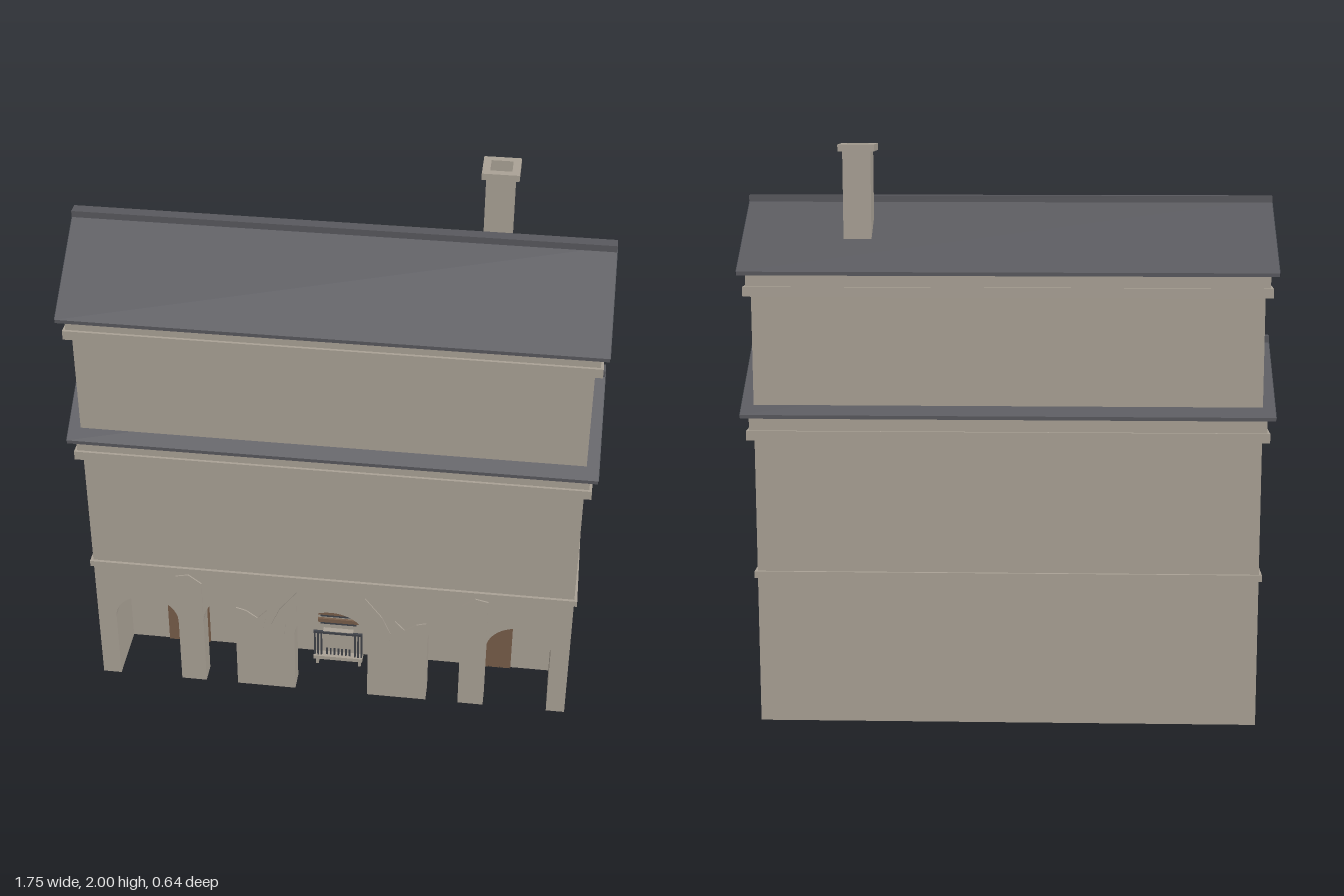
import * as THREE from 'three';

export function createModel() {
  const root = new THREE.Group();
  const mat = (name, color, side = THREE.FrontSide) => {
    const m = new THREE.MeshStandardMaterial({ color, side });
    m.name = name;
    return m;
  };
  const stone = mat('stone', 0xa9a195);
  const slate = mat('slate', 0x58585d);
  const iron = mat('dark iron', 0x404349);
  const wood = mat('brown wood', 0x775d49);

  const add = (name, geo, material, parent = root) => {
    const m = new THREE.Mesh(geo, material);
    m.name = name;
    parent.add(m);
    return m;
  };
  // Box given by its limits on each axis
  const box = (name, x0, x1, y0, y1, z0, z1, material, parent) => {
    const g = new THREE.BoxGeometry(x1 - x0, y1 - y0, z1 - z0);
    g.translate((x0 + x1) / 2, (y0 + y1) / 2, (z0 + z1) / 2);
    return add(name, g, material, parent);
  };
  const shapeOf = pts => new THREE.Shape(pts.map(p => new THREE.Vector2(...p)));
  const extrude = (shape, depth, z) => {
    const g = new THREE.ExtrudeGeometry(shape, { depth, bevelEnabled: false, curveSegments: 14 });
    return g.translate(0, 0, z);
  };
  // Profile in (z, y), extruded along x and centred
  const alongX = (name, pts, length, material, parent) => {
    const g = extrude(shapeOf(pts.map(([z, y]) => [-z, y])), length, -length / 2);
    return add(name, g.rotateY(Math.PI / 2), material, parent);
  };

  // Main walls
  const W = 0.835, D = 0.28, base = 0.07;
  box('groundFloorBackBlock', -W, W, base, 0.57, -D, 0.07, stone);
  box('upperWalls', -W, W, 0.57, 1.585, -D, D, stone);
  box('loggiaCeiling', -W, W, 0.5, 0.57, 0.07, D - 0.01, stone);
  for (const s of [-1, 1]) {
    const a = s * W, b = s * 0.77;
    box('loggiaEndWall', Math.min(a, b), Math.max(a, b), base, 0.57, 0.07, D - 0.07, stone);
  }

  // Arcade front: lower edge runs through five arches
  const arcade = new THREE.Shape();
  arcade.moveTo(-W, 0.57);
  arcade.lineTo(-W, base);
  const arches = [[-0.77, -0.545, 0.34], [-0.455, -0.34, 0.34], [-0.13, 0.13, 0.32],
    [0.34, 0.455, 0.34], [0.545, 0.77, 0.34]];
  for (const [x0, x1, spring] of arches) {
    arcade.lineTo(x0, base);
    arcade.lineTo(x0, spring);
    arcade.absellipse((x0 + x1) / 2, spring, (x1 - x0) / 2, 0.44 - spring, Math.PI, 0, true);
    arcade.lineTo(x1, base);
  }
  arcade.lineTo(W, base);
  arcade.lineTo(W, 0.57);
  add('arcadeWall', extrude(arcade, 0.07, D - 0.07), stone);

  // Shallow raised shafts above the piers
  const shafts = [
    [[0.455, 0.34], [0.475, 0.315], [0.53, 0.315], [0.545, 0.34], [0.545, 0.55], [0.5, 0.56], [0.455, 0.525]],
    [[0.225, 0.43], [0.24, 0.34], [0.32, 0.34], [0.335, 0.43], [0.3, 0.42], [0.26, 0.39]],
    [[0.12, 0.52], [0.12, 0.435], [0.16, 0.39], [0.165, 0.32], [0.205, 0.32], [0.21, 0.37], [0.18, 0.44]],
  ];
  for (const pts of shafts) for (const s of [-1, 1])
    add('pierShaft', extrude(shapeOf(pts.map(([x, y]) => [s * x, y])), 0.006, D - 0.001), stone);

  // String course and the two cornices
  const band = (name, out, y0, y1) => box(name, -W - out, W + out, y0, y1, -D - out, D + out, stone);
  band('stringCourse', 0.01, 0.57, 0.592);
  for (const y of [1.04, 1.515]) {
    band('corniceLower', 0.024, y, y + 0.032);
    band('corniceUpper', 0.015, y + 0.032, y + 0.075);
  }

  // Two pitched roofs of thin slabs, open at the ends
  const roof = (name, eave) => {
    const g = new THREE.Group();
    g.name = name;
    root.add(g);
    const top = eave + 0.225;
    for (const s of [-1, 1]) {
      const pts = [[0, top], [0.32, eave + 0.008], [0.32, eave - 0.004], [0.312, eave - 0.004], [0, top - 0.016]]
        .map(([z, y]) => [s * z, y]);
      alongX('roofSlope', pts, 1.75, slate, g);
    }
    box('ridgeCap', -0.876, 0.876, top - 0.012, top + 0.01, -0.02, 0.02, slate, g);
    for (const s of [-1, 1]) for (const e of [-1, 1])
      alongX('vergeEdge', [[0, top - 0.001], [s * 0.319, eave + 0.007], [s * 0.312, eave - 0.003], [0, top - 0.015]],
        0.004, iron, g).position.x = e * 0.875;
  };
  roof('lowerRoof', 1.12);
  roof('upperRoof', 1.59);
  alongX('gableWalls', [[-0.26, 1.585], [0.26, 1.585], [0, 1.785]], 2 * W, stone);

  // Hollow chimney with a wider cap
  const tube = (name, half, y0, y1) => {
    const sq = h => [[-h, -h], [h, -h], [h, h], [-h, h]];
    const s = shapeOf(sq(half));
    s.holes.push(new THREE.Path(sq(0.035).reverse().map(p => new THREE.Vector2(...p))));
    const g = extrude(s, y1 - y0, 0).rotateX(-Math.PI / 2);
    add(name, g, stone).position.set(0.495, y0, -0.135);
  };
  tube('chimneyShaft', 0.046, 1.66, 1.985);
  tube('chimneyCap', 0.06, 1.978, 2);

  // Plank doors with dark lintels at the back of the loggia
  for (const s of [-1, 1]) {
    const door = new THREE.Group();
    door.name = 'door';
    door.position.x = s * 0.555;
    root.add(door);
    for (let i = 0; i < 4; i++) {
      const x = -0.077 + i * 0.0385;
      box('doorPlank', x, x + 0.036, base, 0.355, 0.069, 0.077, wood, door);
    }
    box('doorBacking', -0.077, 0.077, base, 0.355, 0.069, 0.073, wood, door);
    box('doorLintel', -0.079, 0.079, 0.355, 0.372, 0.069, 0.08, iron, door);
    box('doorHandle', s * 0.077 - 0.005, s * 0.077 + 0.005, 0.28, 0.3, 0.069, 0.085, iron, door);
  }

  // Slatted window shutter
  for (let i = 0; i < 4; i++) {
    const y = 0.205 + i * 0.035;
    box('shutterShadow', -0.066, 0.066, y, y + 0.012, 0.069, 0.074, iron);
    box('shutterSlat', -0.075, 0.075, y + 0.012, y + 0.028, 0.069, 0.079, wood);
  }

  // Central bench with barred back
  const bench = new THREE.Group();
  bench.name = 'bench';
  root.add(bench);
  box('benchSeat', -0.09, 0.09, 0.055, 0.07, 0.0, 0.1, stone, bench);
  box('benchPanel', -0.055, 0.055, 0.105, 0.185, 0.069, 0.09, stone, bench);
  box('benchRail', -0.09, 0.09, 0.174, 0.183, 0.085, 0.094, iron, bench);
  for (const s of [-1, 1]) {
    box('benchBracket', s * 0.078 - 0.005, s * 0.078 + 0.005, 0.02, 0.056, 0.005, 0.085, stone, bench);
    box('benchLeg', s * 0.078 - 0.004, s * 0.078 + 0.004, 0, 0.056, 0.002, 0.012, iron, bench);
    for (const x of [0.086, 0.074, 0.062])
      box('benchBar', s * x - 0.003, s * x + 0.003, 0.07, 0.18, 0.086, 0.093, iron, bench);
  }
  for (let i = -3; i <= 3; i++)
    box('benchSpindle', i * 0.014 - 0.003, i * 0.014 + 0.003, 0.07, 0.105, 0.08, 0.088, iron, bench);

  return root;
}
